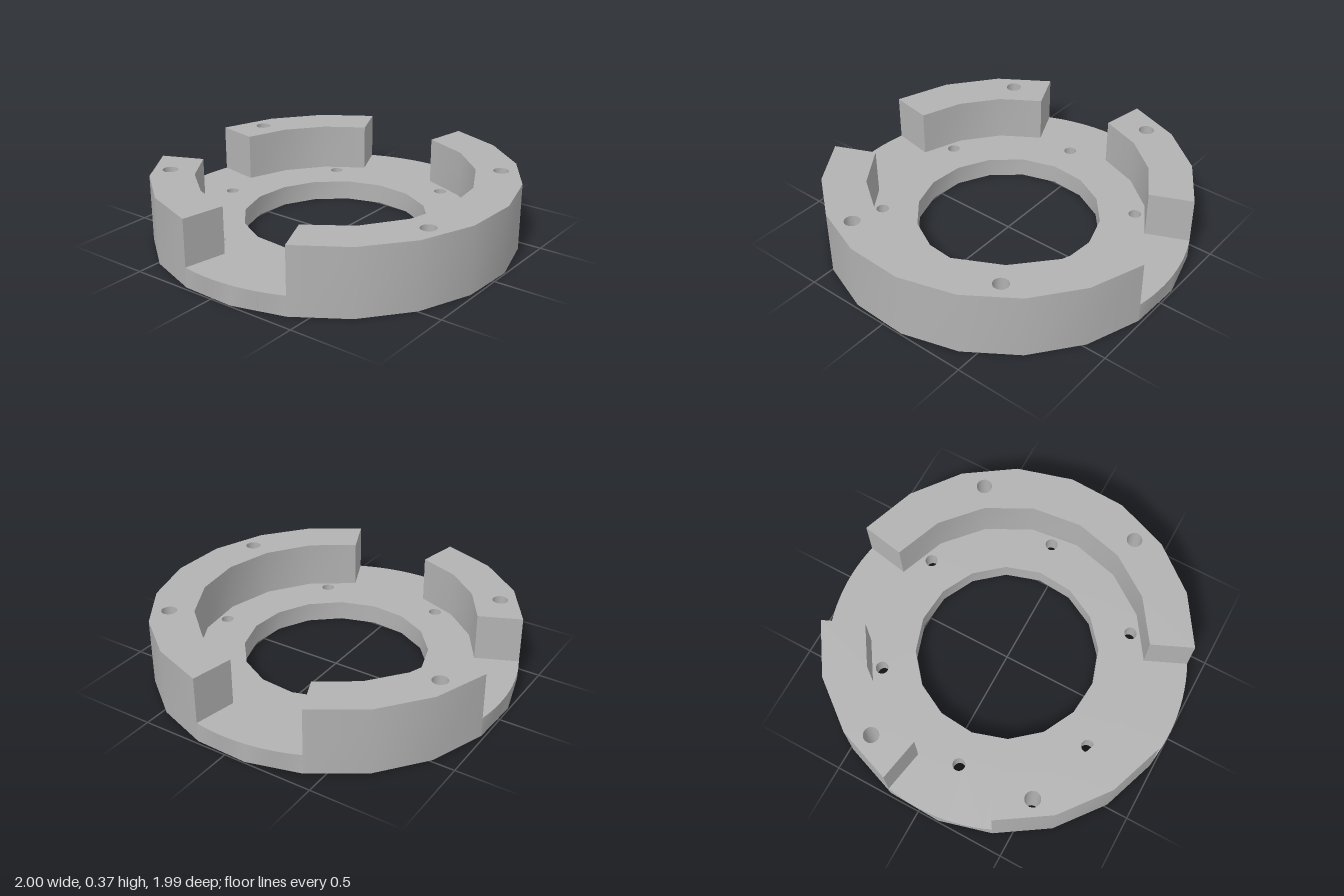
import * as THREE from 'three';
import { mergeGeometries, toCreasedNormals } from 'three/addons/utils/BufferGeometryUtils.js';

const FLOOR = 0.11, TOP = 0.37;
const R_OUT = 1, R_WALL = 0.76, R_BORE = 0.508;

// plan points are (x, -z); angles run clockwise from the back, in degrees
const polar = (r, deg) => {
  const a = THREE.MathUtils.degToRad(deg);
  return new THREE.Vector2(r * Math.sin(a), r * Math.cos(a));
};
const arc = (r, a0, a1, n) =>
  Array.from({ length: n + 1 }, (_, i) => polar(r, a0 + ((a1 - a0) * i) / n));

// counter-clockwise loop, so its strip faces the hole's axis
const circle = ([x, z, r]) =>
  arc(r, 360, 0, 16).map((p) => p.add(new THREE.Vector2(x, -z)));

// vertical band between two matching plan paths
function strip(low, y0, y1, high = low) {
  const pos = [];
  const put = (p, y) => pos.push(p.x, y, -p.y);
  for (let i = 0; i < low.length - 1; i++) {
    put(low[i + 1], y0); put(low[i], y0); put(high[i], y1);
    put(low[i + 1], y0); put(high[i], y1); put(high[i + 1], y1);
  }
  return new THREE.BufferGeometry().setAttribute('position', new THREE.Float32BufferAttribute(pos, 3));
}

// horizontal face with holes, turned up or down
function face(outline, holes, y, down = false) {
  const shape = new THREE.Shape(outline);
  shape.holes = holes.map((h) => new THREE.Path(h));
  const flat = new THREE.ShapeGeometry(shape);
  if (down) flat.index.array.reverse();
  const g = flat.toNonIndexed().rotateX(-Math.PI / 2).translate(0, y, 0);
  g.deleteAttribute('uv');
  g.deleteAttribute('normal');
  return g;
}

// raised walls: angular span, outer and inner segment counts, bolt holes
const WALLS = [
  { name: 'rearLeftWall', a0: 10.4, a1: 66.1, outer: 3, inner: 3, bolts: [[0.35, -0.822, 0.043]] },
  { name: 'frontWall', a0: 100.4, a1: 246.1, outer: 8, inner: 7,
    bolts: [[0.534, 0.718, 0.043], [-0.354, 0.821, 0.043]] },
  { name: 'rearRightWall', a0: 280.4, a1: 336.1, outer: 3, inner: 3, bolts: [[-0.537, -0.72, 0.043]] },
];

export function createModel() {
  const group = new THREE.Group();
  group.name = 'slottedRing';
  const metal = new THREE.MeshStandardMaterial({ color: 0xb2b2b2 });
  metal.name = 'grey metal';
  const add = (name, parts) => {
    const mesh = new THREE.Mesh(toCreasedNormals(mergeGeometries(parts), 0.5), metal);
    mesh.name = name;
    group.add(mesh);
  };

  const base = [], rim = [], floor = [], boltHoles = [];
  WALLS.forEach((w, k) => {
    const outer = arc(R_OUT, w.a0, w.a1, w.outer);
    const inner = arc(R_WALL, w.a0, w.a1, w.inner);
    const holes = w.bolts.map(circle);
    boltHoles.push(...holes);

    // wall: full-height outside, inside and ends above the floor, top, bolt holes
    add(w.name, [
      strip(outer, 0, TOP),
      strip([outer[w.outer], ...[...inner].reverse(), outer[0]], FLOOR, TOP),
      face([...outer, ...[...inner].reverse()], holes, TOP),
      ...holes.map((h) => strip(h, 0, TOP)),
    ]);

    // slot edge: round at the floor, two straight chords at the underside
    const next = k < 2 ? WALLS[k + 1].a0 : WALLS[0].a0 + 360;
    const round = arc(R_OUT, w.a1, next, 12);
    const corners = arc(R_OUT, w.a1, next, 2);
    const chords = round.map((_, i) => {
      const s = i < 6 ? 0 : 1;
      return corners[s].clone().lerp(corners[s + 1], i / 6 - s);
    });
    base.push(strip(chords, 0, FLOOR, round));
    floor.push(...inner, ...round);
    rim.push(...outer, ...chords.slice(1, -1));
  });

  // base: underside, floor, central bore and six small pin holes
  const bore = arc(R_BORE, 353.5, -6.5, 16);
  const pins = [];
  for (let i = 0; i < 6; i++) {
    const p = polar(0.698, -6.8 + i * 60);
    pins.push(circle([p.x, -p.y, 0.035]));
  }
  add('basePlate', [
    ...base,
    face(rim, [bore, ...pins, ...boltHoles], 0, true),
    face(floor, [bore, ...pins], FLOOR),
    strip(bore, 0, FLOOR),
    ...pins.map((h) => strip(h, 0, FLOOR)),
  ]);
  return group;
}
